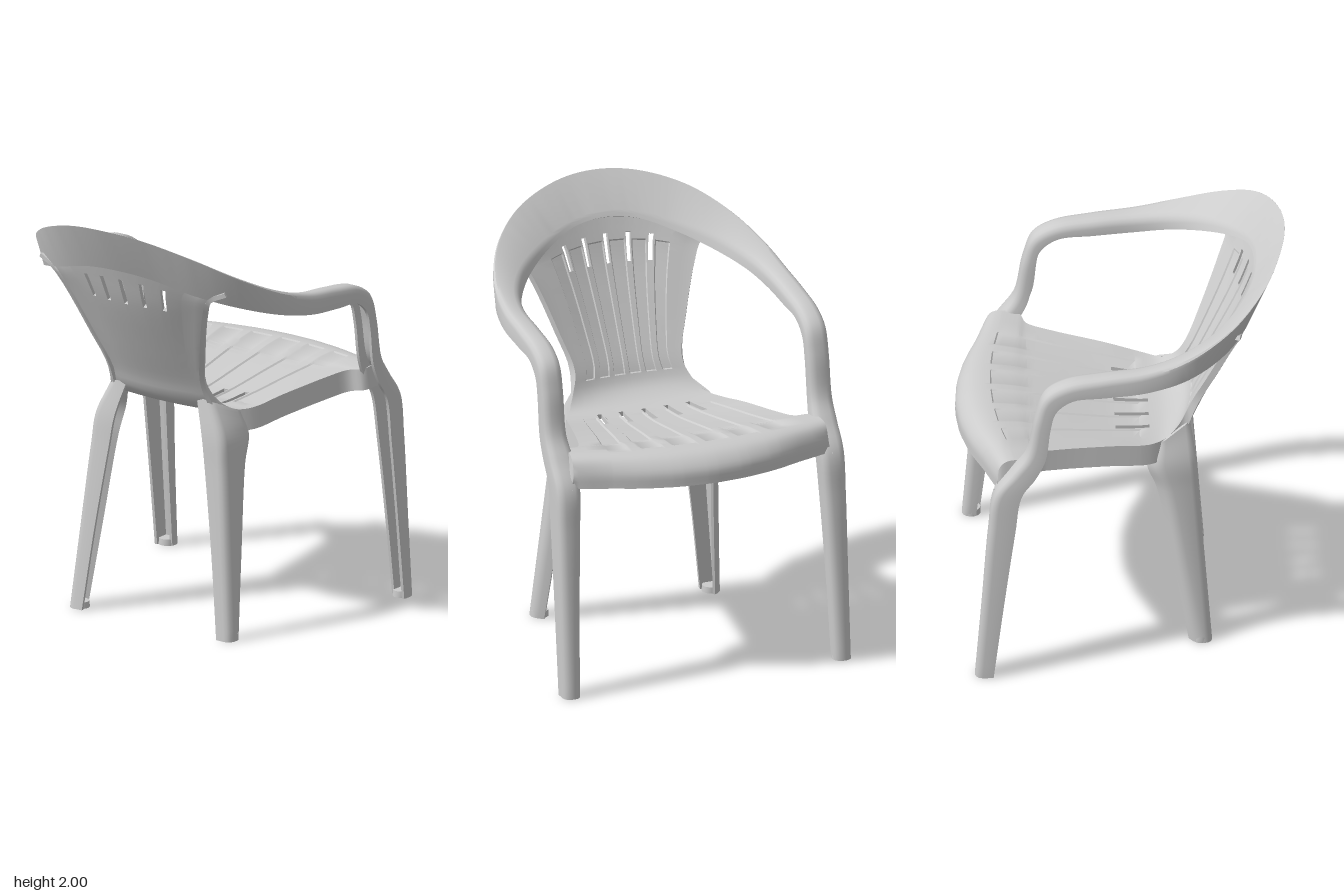
import * as THREE from 'three';
import { toCreasedNormals } from 'three/addons/utils/BufferGeometryUtils.js';

const V = (x, y, z) => new THREE.Vector3(x, y, z);
const smooth = THREE.MathUtils.smoothstep;
const material = new THREE.MeshStandardMaterial({ color: 0xcccccc });

// Closed solid from points and triangles, wound outward by its signed volume
function solid(name, points, faces, crease = 0.65) {
  let volume = 0;
  for (const [a, b, c] of faces) volume += points[a].dot(points[b].clone().cross(points[c]));
  const index = faces.flatMap(([a, b, c]) => (volume < 0 ? [a, c, b] : [a, b, c]));
  const geometry = new THREE.BufferGeometry().setFromPoints(points);
  geometry.setIndex(index);
  const mesh = new THREE.Mesh(toCreasedNormals(geometry, crease), material);
  mesh.name = name;
  return mesh;
}

// Sweep a U-shaped channel; each station is [wall edge, corner, corner, wall edge]
function channel(name, stations, steps, d = 0.014) {
  const tracks = [0, 1, 2, 3].map(k => new THREE.CatmullRomCurve3(stations.map(s => V(...s[k]))));
  const points = [], faces = [], n = 14;
  const move = (p, u, a, v, b) => p.clone().addScaledVector(u, a).addScaledVector(v, b);
  for (let i = 0; i <= steps; i++) {
    const [A, C, B, D] = tracks.map(t => t.getPoint(i / steps));
    const u = A.clone().sub(C).normalize(), v = B.clone().sub(C).normalize();
    const back = v.clone().negate(), w = D.clone().sub(B).normalize();
    const round = (p, a, b) => {
      const r = 0.035 * a.clone().cross(b).length();
      return [0, 1, 2, 3].map(k => k * Math.PI / 6)
        .map(t => move(p, a, r * (1 - Math.sin(t)), b, r * (1 - Math.cos(t))));
    };
    const inset = (p, a, b) => {
      const k = d / a.clone().cross(b).length();
      return move(p, a, k, b, k);
    };
    const thicken = (p, a, b) => {
      const k = d / a.clone().cross(b).length();
      return move(p, a, -k * a.dot(b), b, k);
    };
    points.push(A, ...round(C, u, v), ...round(B, back, w), D,
      thicken(D, w, back), inset(B, back, w), inset(C, u, v), thicken(A, u, v));
    if (i === 0) continue;
    for (let j = 0; j < n; j++) {
      const a = (i - 1) * n + j, b = (i - 1) * n + (j + 1) % n;
      faces.push([a, b, a + n], [b, b + n, a + n]);
    }
  }
  const cap = [[0, 1, 13], [1, 12, 13], [1, 2, 12], [2, 3, 12], [3, 4, 12], [4, 11, 12],
    [4, 5, 11], [5, 6, 11], [6, 7, 11], [7, 8, 11], [8, 10, 11], [8, 9, 10]];
  for (const [a, b, c] of cap) {
    const e = steps * n;
    faces.push([a, c, b], [a + e, b + e, c + e]);
  }
  return solid(name, points, faces);
}

const mirrorZ = stations => stations.map(s => s.map(([x, y, z]) => [x, y, -z]));

// Seat and backrest: centre line [x, y] and side edge [x, y, z], from front lip to top of back
const profile = [
  [[0.76, 1.0], [0.595, 1.0, 0.63]],
  [[0.755, 1.07], [0.595, 1.07, 0.63]],
  [[0.705, 1.125], [0.575, 1.125, 0.63]],
  [[0.63, 1.145], [0.54, 1.145, 0.625]],
  [[0.5, 1.135], [0.44, 1.14, 0.605]],
  [[0.42, 1.12], [0.41, 1.13, 0.54]],
  [[0.3, 1.1], [0.3, 1.115, 0.497]],
  [[0.1, 1.065], [0.1, 1.09, 0.445]],
  [[0.03, 1.055], [0.03, 1.08, 0.427]],
  [[-0.13, 1.045], [-0.12, 1.055, 0.385]],
  [[-0.22, 1.055], [-0.2, 1.06, 0.34]],
  [[-0.3, 1.1], [-0.265, 1.11, 0.295]],
  [[-0.35, 1.2], [-0.315, 1.2, 0.265]],
  [[-0.435, 1.36], [-0.385, 1.36, 0.31]],
  [[-0.56, 1.61], [-0.48, 1.6, 0.395]],
  [[-0.61, 1.74], [-0.51, 1.68, 0.44]],
  [[-0.64, 1.82], [-0.5, 1.72, 0.52]],
];

function seatShell() {
  const last = profile.length - 1;
  const middle = new THREE.CatmullRomCurve3(profile.map(([c]) => V(c[0], c[1], 0)));
  const side = new THREE.CatmullRomCurve3(profile.map(([, e]) => V(...e)));

  // Surface point at profile position i, sideways v; |v| > 1 is the turned-down rim
  const surface = (i, v) => {
    const t = THREE.MathUtils.clamp(i / last, 0, 1), w = Math.min(Math.abs(v), 1);
    const rim = Math.max(0, Math.abs(v) - 1) / 0.2, edge = side.getPoint(t);
    const p = middle.getPoint(t).lerp(edge, w * w);
    const turn = smooth(i, 10.5, 12.5);
    // The pattern fans out straight; the margin fills out to the edge
    const fan = i < 9 ? Math.min(edge.z, 0.42 + 0.27 * edge.x) : edge.z * (1 - 0.13 * smooth(i, 11, 14));
    p.x -= rim * 0.03 * turn;
    p.y -= rim * Math.min(0.1, i * 0.07) * (1 - turn);
    p.z = Math.sign(v) * (fan * w + (edge.z - fan) * smooth(w, 0.8, 1) + 0.015 * rim);
    return p;
  };
  const within = (x, ranges) => ranges.some(([a, b]) => x >= a && x <= b);
  const recess = (i, v) =>
    within(i, [[3.3, 8.7], [11.55, 14.7]]) &&
    within(Math.abs(v), [[0.055, 0.235], [0.345, 0.505], [0.635, 0.785]]) ? 0.006 : 0;
  const isSlot = (i, v) =>
    within(i, [[8, 9], [14, 15]]) && within(Math.abs(v), [[0, 0.03], [0.26, 0.32], [0.54, 0.6]]);

  const rows = [3.3, 8.7, 11.55, 14.7];
  for (let i = 0; i <= last; i += 0.25) rows.push(i);
  rows.sort((a, b) => a - b);
  const half = [0.03, 0.04, 0.055, 0.235, 0.25, 0.26, 0.32, 0.33, 0.345, 0.505, 0.52,
    0.54, 0.6, 0.62, 0.635, 0.785, 0.8, 0.9, 0.97, 1, 1.04, 1.2];
  const cols = [...half.map(v => -v).reverse(), 0, ...half];

  // Outer and inner layers
  const points = [], faces = [], m = cols.length, h = 0.01;
  for (const i of rows) for (const v of cols) {
    const p = surface(i, v);
    const normal = surface(i + h, v).sub(surface(i - h, v))
      .cross(surface(i, v + h).sub(surface(i, v - h))).normalize();
    points.push(p.clone().addScaledVector(normal, -recess(i, v)), p.addScaledVector(normal, -0.022));
  }
  const kept = (r, c) => r >= 0 && c >= 0 && r < rows.length - 1 && c < m - 1 &&
    !isSlot((rows[r] + rows[r + 1]) / 2, (cols[c] + cols[c + 1]) / 2);
  const id = (r, c) => 2 * (r * m + c);
  for (let r = 0; r < rows.length - 1; r++) for (let c = 0; c < m - 1; c++) {
    if (!kept(r, c)) continue;
    const q = [id(r, c), id(r + 1, c), id(r + 1, c + 1), id(r, c + 1)];
    faces.push([q[0], q[1], q[2]], [q[0], q[2], q[3]]);
    faces.push([q[0] + 1, q[2] + 1, q[1] + 1], [q[0] + 1, q[3] + 1, q[2] + 1]);
    // Walls at the outline and around the slots
    [[r, c - 1], [r + 1, c], [r, c + 1], [r - 1, c]].forEach(([nr, nc], k) => {
      if (kept(nr, nc)) return;
      const a = q[k], b = q[(k + 1) % 4];
      faces.push([a, a + 1, b], [b, a + 1, b + 1]);
    });
  }
  return solid('seatAndBackrest', points, faces);
}

// Half of the rail: back centre, round to the arm, then down the front leg
const railHalf = [
  [[-0.65, 1.78, 0], [-0.765, 2.005, 0], [-0.63, 1.84, 0]],
  [[-0.632, 1.765, 0.18], [-0.737, 1.987, 0.2], [-0.61, 1.82, 0.16]],
  [[-0.575, 1.71, 0.385], [-0.65, 1.92, 0.42], [-0.53, 1.77, 0.33]],
  [[-0.46, 1.655, 0.555], [-0.5, 1.82, 0.585], [-0.4, 1.72, 0.48]],
  [[-0.29, 1.6, 0.67], [-0.3, 1.725, 0.68], [-0.25, 1.68, 0.565]],
  [[-0.1, 1.56, 0.71], [-0.1, 1.665, 0.71], [-0.1, 1.65, 0.6]],
  [[0.1, 1.54, 0.715], [0.1, 1.635, 0.715], [0.1, 1.63, 0.605]],
  // arm bend and front leg: rear x, rear y, front x, front y, inner z
  ...[
    [0.25, 1.525, 0.28, 1.6, 0.605], [0.325, 1.465, 0.375, 1.54, 0.605],
    [0.35, 1.38, 0.42, 1.42, 0.605], [0.375, 1.2, 0.46, 1.22, 0.605],
    [0.42, 1.1, 0.525, 1.12, 0.595], [0.485, 1.0, 0.61, 1.0, 0.595],
    [0.515, 0.8, 0.637, 0.8, 0.605], [0.567, 0.4, 0.668, 0.4, 0.62],
    [0.615, 0, 0.7, 0, 0.63],
  ].map(([ax, ay, cx, cy, z]) => [[ax, ay, 0.715], [cx, cy, 0.715], [cx, cy, z]]),
].map(([a, c, b], i) => {
  // Inner wall, growing from a small lip at the back to nearly full depth on the arms
  const k = 0.1 + 0.65 * smooth(i, 1, 6);
  return [a, c, b, b.map((value, axis) => value + k * (a[axis] - c[axis]))];
});

// Rear flange, outer side wall and narrow front flange
const rearLeg = [
  [[-0.305, 1.12, 0.2], [-0.315, 1.115, 0.285], [-0.17, 1.045, 0.37], [-0.14, 1.035, 0.31]],
  [[-0.335, 0.95, 0.25], [-0.338, 0.95, 0.365], [-0.165, 0.94, 0.4], [-0.11, 0.93, 0.35]],
  [[-0.345, 0.8, 0.275], [-0.35, 0.8, 0.385], [-0.205, 0.8, 0.41], [-0.155, 0.8, 0.36]],
  [[-0.375, 0.4, 0.335], [-0.38, 0.4, 0.425], [-0.27, 0.4, 0.44], [-0.23, 0.4, 0.39]],
  [[-0.405, 0, 0.385], [-0.41, 0, 0.465], [-0.335, 0, 0.47], [-0.3, 0, 0.425]],
];

export function createModel() {
  const chair = new THREE.Group();
  chair.name = 'armchair';
  chair.add(seatShell());
  chair.add(channel('armRailAndFrontLegs',
    [...mirrorZ(railHalf.slice(1)).reverse(), ...railHalf], 180));

  const footGeometry = toCreasedNormals(new THREE.CylinderGeometry(0.041, 0.043, 0.03, 20), 0.6);
  for (const s of [1, -1]) {
    const which = s > 0 ? 'left' : 'right';
    chair.add(channel(`${which}RearLeg`, s > 0 ? rearLeg : mirrorZ(rearLeg), 32));
    // Solid feet closing the channels
    for (const [part, x, z] of [['FrontFoot', 0.656, 0.671], ['RearFoot', -0.358, 0.426]]) {
      const foot = new THREE.Mesh(footGeometry, material);
      foot.name = which + part;
      foot.position.set(x, 0.015, s * z);
      chair.add(foot);
    }
  }
  return chair;
}
